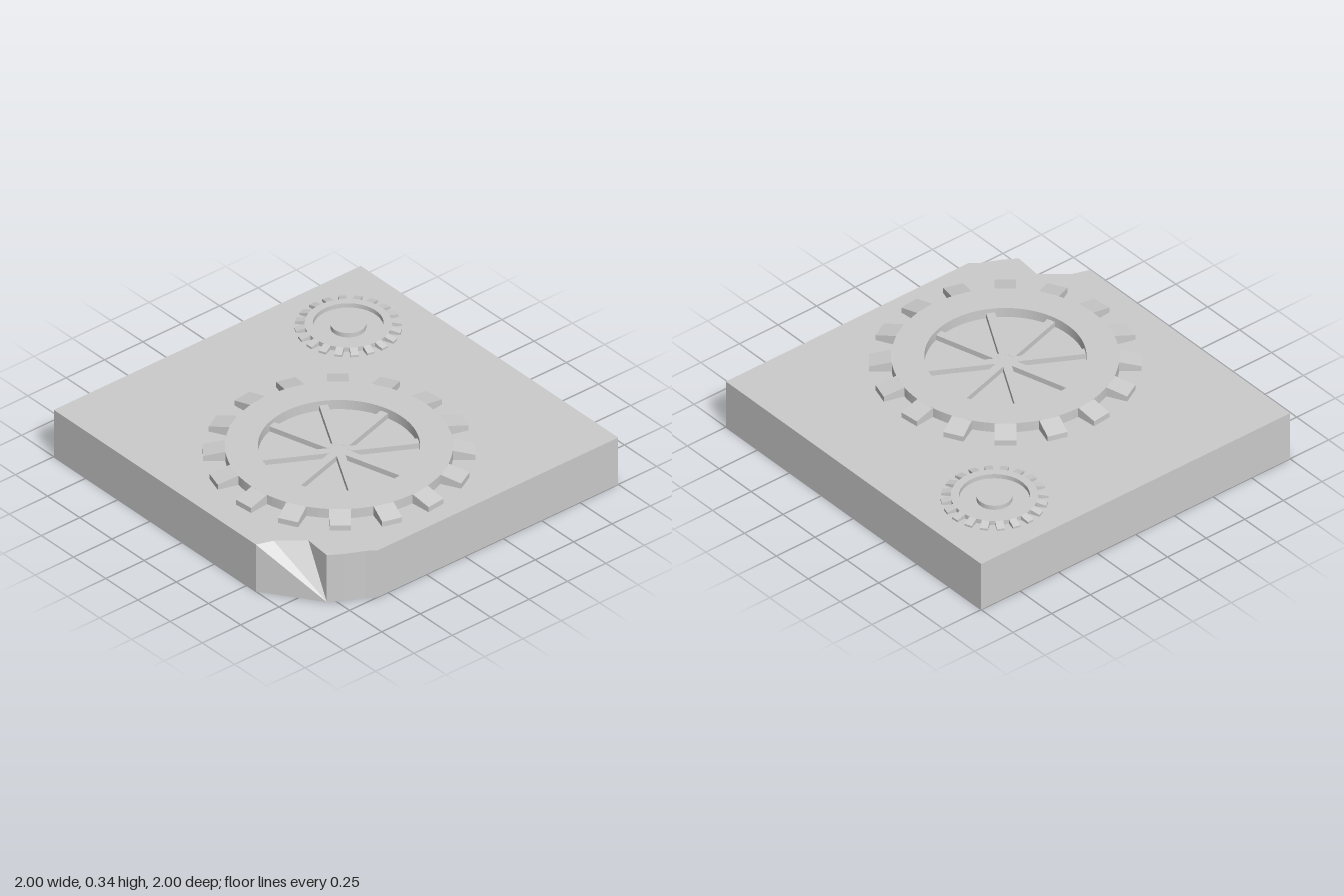
import * as THREE from 'three';

const material = new THREE.MeshStandardMaterial({ color: 0xcccccc, flatShading: true });
const SLAB_TOP = 0.282;

function add(parent, name, geometry) {
  const mesh = new THREE.Mesh(geometry, material);
  mesh.name = name;
  parent.add(mesh);
  return mesh;
}

// Square slab whose broken corner narrows to a single point at the base
function slabGeometry() {
  const corner = [0.87, 0.79];
  const top = [[-1, 1], [0.57, 1], [0.6, 0.91], [0.71, 0.775], corner,
    [0.915, 0.72], [0.965, 0.615], [1, 0.57], [1, -1], [-1, -1]];
  const base = top.map((p, i) => (i === 2 || i === 3 ? corner : p));
  const positions = [];
  const put = (p, y) => positions.push(p[0], y, p[1]);
  const triangles = (outline) => THREE.ShapeUtils.triangulateShape(
    outline.map(([x, z]) => new THREE.Vector2(x, -z)), []);

  for (const t of triangles(top)) t.forEach((i) => put(top[i], SLAB_TOP));
  const baseOutline = top.filter((p, i) => i !== 2 && i !== 3);
  for (const [a, b, c] of triangles(baseOutline)) [a, c, b].forEach((i) => put(baseOutline[i], 0));

  // Walls between the two outlines
  top.forEach((a, i) => {
    const j = (i + 1) % top.length;
    if (base[i] !== base[j]) {
      put(base[i], 0); put(base[j], 0); put(a, SLAB_TOP);
    }
    put(a, SLAB_TOP); put(base[j], 0); put(top[j], SLAB_TOP);
  });

  const geometry = new THREE.BufferGeometry();
  geometry.setAttribute('position', new THREE.Float32BufferAttribute(positions, 3));
  geometry.computeVertexNormals();
  return geometry;
}

// Flat ring lying on the slab
function ringGeometry(outer, inner, height) {
  const shape = new THREE.Shape().absarc(0, 0, outer, 0, Math.PI * 2, false);
  shape.holes.push(new THREE.Path().absarc(0, 0, inner, 0, Math.PI * 2, true));
  return new THREE.ExtrudeGeometry(shape, { depth: height, bevelEnabled: false, curveSegments: 64 })
    .rotateX(-Math.PI / 2);
}

// Tooth whose upper side slopes down towards its tip
function toothGeometry(root, tip, rootHeight, tipHeight, width) {
  const profile = new THREE.Shape([
    new THREE.Vector2(root - 0.015, 0), new THREE.Vector2(tip, 0),
    new THREE.Vector2(tip, tipHeight), new THREE.Vector2(root, rootHeight),
    new THREE.Vector2(root - 0.015, rootHeight - 0.002),
  ]);
  return new THREE.ExtrudeGeometry(profile, { depth: width, bevelEnabled: false })
    .translate(0, 0, -width / 2);
}

// Places copies around the gear; angles run from +x towards +z
function addAround(parent, name, geometry, count, startDegrees) {
  for (let i = 0; i < count; i++) {
    add(parent, name, geometry).rotation.y =
      -THREE.MathUtils.degToRad(startDegrees + (360 / count) * i);
  }
}

function gear(name, x, z) {
  const group = new THREE.Group();
  group.name = name;
  group.position.set(x, SLAB_TOP, z);
  return group;
}

export function createModel() {
  const model = new THREE.Group();
  model.name = 'gearTile';
  add(model, 'slab', slabGeometry());

  // Large spoked gear
  const large = gear('largeGear', 0.22, 0.165);
  add(large, 'largeGearRim', ringGeometry(0.57, 0.405, 0.055));
  addAround(large, 'largeGearTooth', toothGeometry(0.57, 0.68, 0.055, 0.03, 0.108), 16, -5.5);
  addAround(large, 'spoke', new THREE.BoxGeometry(0.365, 0.03, 0.045).translate(0.2275, 0.015, 0), 8, -16);
  add(large, 'largeGearHub', new THREE.CylinderGeometry(0.06, 0.06, 0.029, 8).translate(0, 0.0145, 0));
  model.add(large);

  // Small gear with a raised centre
  const small = gear('smallGear', -0.62, -0.6);
  add(small, 'smallGearRim', ringGeometry(0.218, 0.177, 0.025));
  addAround(small, 'smallGearTooth', toothGeometry(0.218, 0.268, 0.025, 0.012, 0.04), 20, -3);
  add(small, 'smallGearHub', new THREE.CylinderGeometry(0.09, 0.09, 0.025, 48).translate(0, 0.0125, 0));
  model.add(small);

  return model;
}
